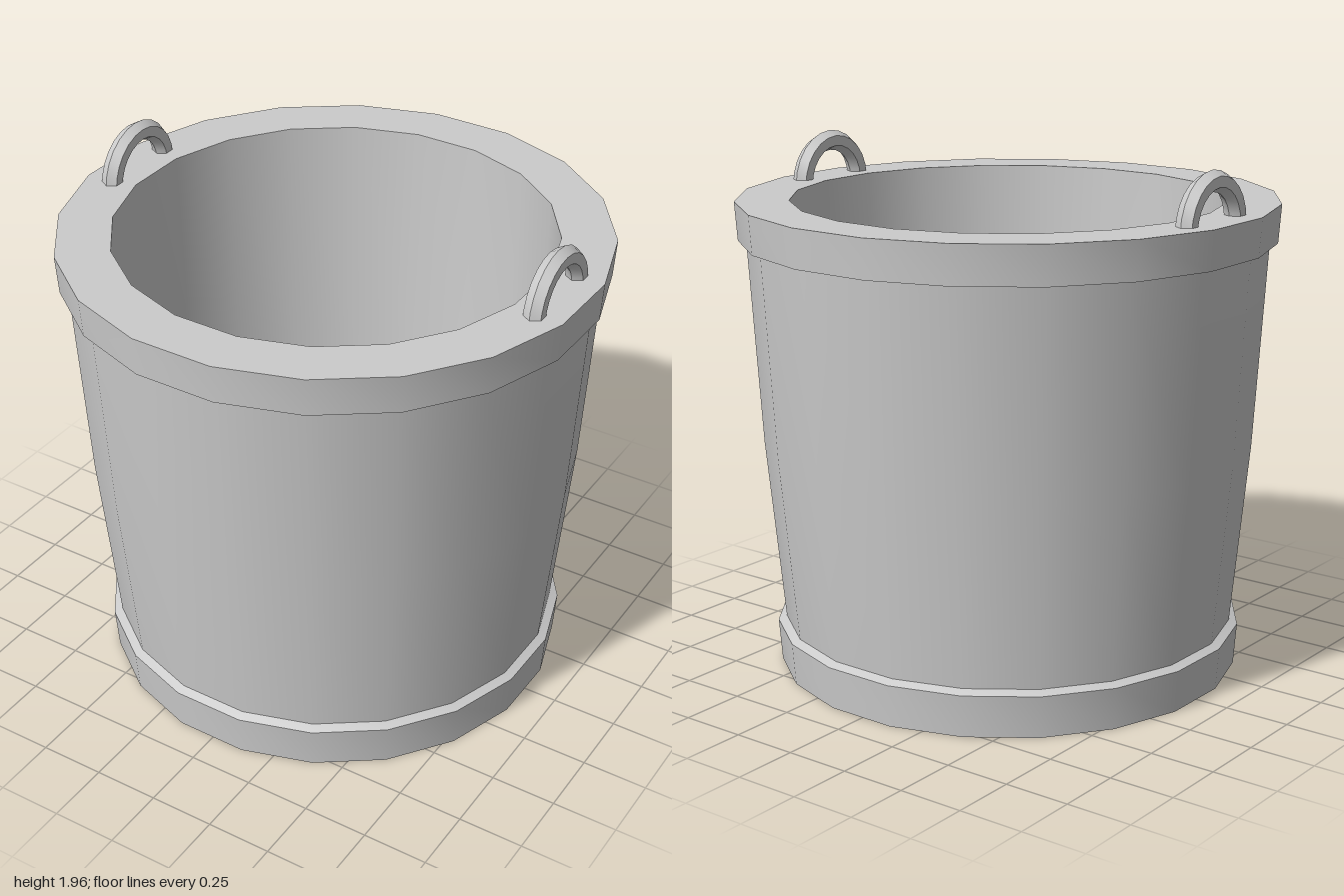
import * as THREE from 'three';
import { toCreasedNormals } from 'three/addons/utils/BufferGeometryUtils.js';

const SIDES = 20;
const START = THREE.MathUtils.degToRad(8.5);

export function createModel() {
  const group = new THREE.Group();
  const material = new THREE.MeshStandardMaterial({ color: 0xcccccc });

  const add = (name, geometry) => {
    const mesh = new THREE.Mesh(toCreasedNormals(geometry, 0.5), material);
    mesh.name = name;
    group.add(mesh);
    return mesh;
  };

  // Twenty-sided ring or disc turned from [radius, height] pairs
  const turned = (name, profile) => add(name, new THREE.LatheGeometry(
    profile.map(([r, y]) => new THREE.Vector2(r, y)), SIDES, START));

  // Base hoop, with the closed underside
  turned('baseHoop', [[0, 0], [0.88, 0], [0.892, 0.16], [0.86, 0.175]]);

  // Outer wall, slightly bulged halfway up
  turned('outerWall', [[0.86, 0.175], [0.925, 0.87], [0.97, 1.64]]);

  // Rim hoop, with the flat top reaching in to the opening
  turned('rim', [[0.97, 1.64], [1.0, 1.64], [1.01, 1.785], [0.81, 1.785]]);

  // Inner wall and floor
  turned('innerWall', [[0.81, 1.785], [0.785, 0.87], [0.738, 0.17]]);
  turned('floor', [[0.738, 0.17], [0, 0.17]]);

  // Half-ring lugs with a six-sided section, sunk into the rim
  for (const side of [1, -1]) {
    const lug = add(side > 0 ? 'leftLug' : 'rightLug',
      new THREE.TorusGeometry(0.16, 0.039, 6, 12, Math.PI));
    lug.rotation.y = Math.PI / 2;
    lug.position.set(side * 0.89, 1.763, side * 0.01 - 0.003);
  }

  return group;
}
